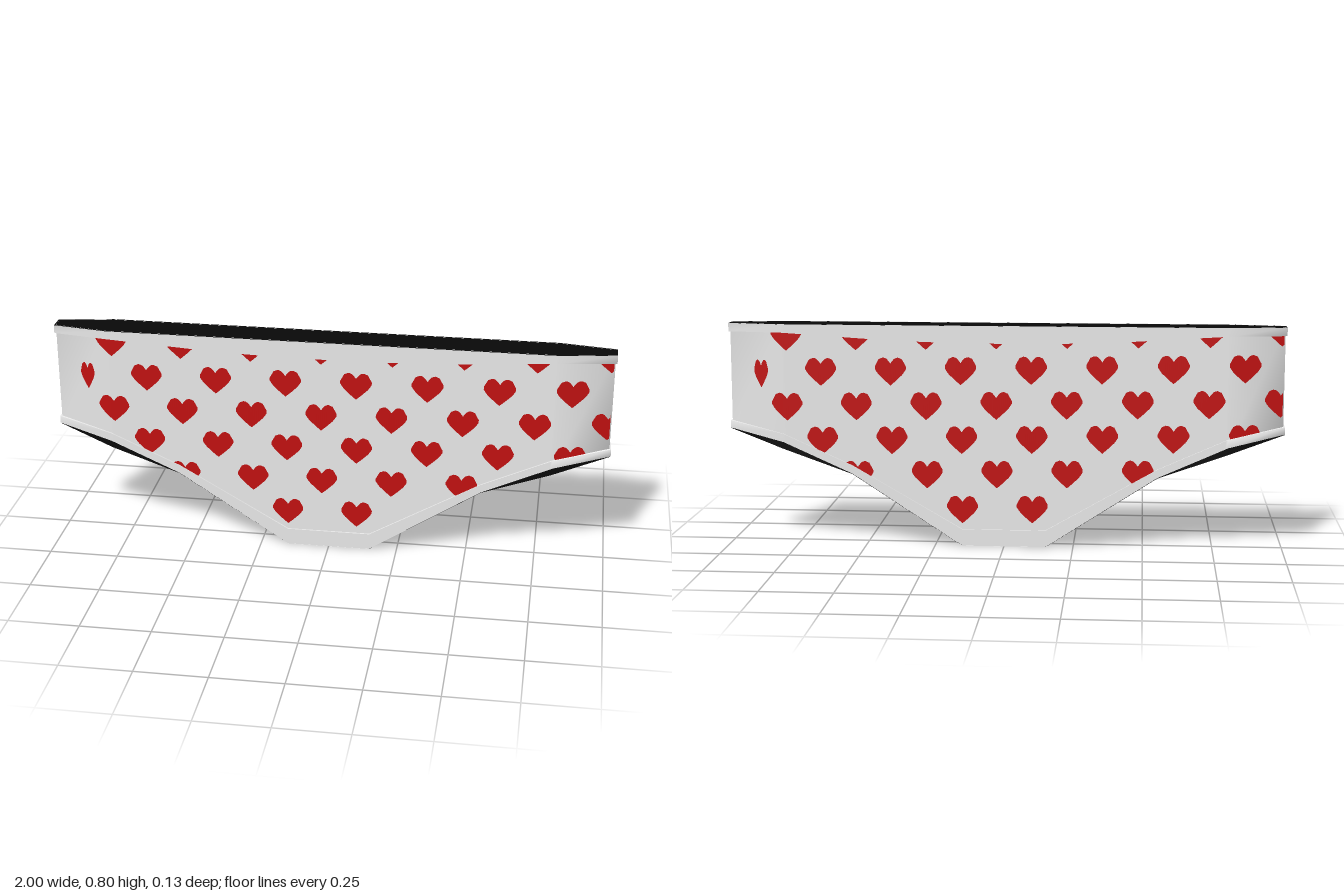
import * as THREE from 'three';
import { toCreasedNormals } from 'three/addons/utils/BufferGeometryUtils.js';

const fabric = new THREE.MeshStandardMaterial({ color: 0xeeeeee, side: THREE.DoubleSide });
fabric.name = 'white fabric';
const red = new THREE.MeshStandardMaterial({ color: 0xc01010, side: THREE.DoubleSide });
red.name = 'heart red';
const black = new THREE.MeshStandardMaterial({ color: 0x080808, side: THREE.DoubleSide });
black.name = 'black lining';

// Piecewise-linear rule, mirrored about x = 0
const rule = (...pts) => (x) => {
  const a = Math.abs(x);
  for (let i = 1; i < pts.length; i++) {
    const [x0, y0] = pts[i - 1], [x1, y1] = pts[i];
    if (a <= x1) return y0 + (y1 - y0) * (a - x0) / (x1 - x0);
  }
  return pts[pts.length - 1][1];
};

const END = 0.994;
const depth = rule([0, 0.057], [0.8, 0.057], [END, 0.024]);
const legEdge = rule([0, 0], [0.15, 0], [0.55, 0.26], [0.8, 0.372], [END, 0.418]);
const trimEdge = rule([0, 0.06], [0.15, 0.06], [0.55, 0.29], [0.8, 0.402], [END, 0.445]);
const liningEdge = rule([0, 0], [0.15, 0], [0.55, 0.259], [END, 0.417]);
const waistEdge = rule([0, 0.733], [0.4, 0.745], [0.8, 0.77], [END, 0.77]);
const top = () => 0.8;

const half = [0.15, 0.4, 0.55, 0.79, 0.8, END];
const columns = [...half.map((x) => -x).reverse(), ...half];
const push = (x, off) => (Math.abs(x) === END ? x + Math.sign(x) * off : x);

function geometryFrom(pos, index) {
  const g = new THREE.BufferGeometry();
  g.setAttribute('position', new THREE.Float32BufferAttribute(pos, 3));
  g.setIndex(index);
  g.computeVertexNormals();
  return g;
}

// Closed band round the garment; rows run bottom to top as [offset, heightRule]
function band(rows) {
  const pos = [], index = [], n = columns.length * 2;
  for (const [off, height] of rows) {
    for (const x of columns) pos.push(push(x, off), height(x), depth(x) + off);
    for (const x of [...columns].reverse()) pos.push(push(x, off), height(x), -depth(x) - off);
  }
  for (let r = 0; r < rows.length - 1; r++) {
    for (let i = 0; i < n; i++) {
      const a = r * n + i, b = r * n + (i + 1) % n;
      index.push(a, b, b + n, a, b + n, a + n);
    }
  }
  return toCreasedNormals(geometryFrom(pos, index), 1.5);
}

// Sheet spanning front to back along x
function sheet(xs, height, off) {
  const pos = [], index = [];
  xs.forEach((x, i) => {
    const z = depth(x) + off;
    pos.push(push(x, off), height(x), z, push(x, off), height(x), -z);
    if (i) {
      const a = 2 * i - 2;
      index.push(a, a + 2, a + 3, a, a + 3, a + 1);
    }
  });
  return toCreasedNormals(geometryFrom(pos, index), 0.3);
}

// Heart made of narrow columns, each corner placed by a rule
const heartTop = rule([0, 0.026], [0.2, 0.042], [0.45, 0.049], [0.75, 0.042], [1, 0.016]);
const heartBottom = rule([0, -0.053], [0.35, -0.036], [0.8, -0.012], [1, 0.006]);
function heart(pos, index, place, width = 0.056) {
  const start = pos.length / 3, steps = 16;
  for (let i = 0; i <= steps; i++) {
    const u = -1 + 2 * i / steps;
    pos.push(...place(u * width, heartBottom(u)), ...place(u * width, heartTop(u)));
    if (i) {
      const a = start + 2 * i - 2;
      index.push(a, a + 2, a + 3, a, a + 3, a + 1);
    }
  }
}

function heartPanel() {
  const pos = [], index = [];
  const add = (cx, cy, width) => heart(pos, index, (dx, dy) => {
    const x = THREE.MathUtils.clamp(cx + dx, -0.99, 0.99);
    const y = THREE.MathUtils.clamp(cy + dy, legEdge(x) + 0.006, 0.79);
    return [x, y, depth(x) + 0.0018];
  }, width);
  // Staggered rows: first x, y, count
  const rows = [[-0.785, 0.758, 8], [-0.66, 0.632, 7], [-0.785, 0.504, 8],
    [-0.657, 0.382, 7], [-0.53, 0.258, 5], [-0.15, 0.135, 2]];
  for (const [x, y, count] of rows) {
    for (let i = 0; i < count; i++) add(x + i * 0.2525, y + i * 0.004);
  }
  add(-0.88, 0.622, 0.026);
  return geometryFrom(pos, index);
}

// Small hearts under the gusset
function gussetHearts() {
  const pos = [], index = [];
  for (const [cx, cz] of [[-0.1, 0.03], [0, -0.028], [0.1, 0.03]]) {
    heart(pos, index, (dx, dy) => [cx + dx * 0.6, -0.0015, cz + dy * 0.5]);
  }
  return geometryFrom(pos, index);
}

export function createModel() {
  const model = new THREE.Group();
  model.name = 'briefs';
  const add = (name, geometry, material) => {
    const mesh = new THREE.Mesh(geometry, material);
    mesh.name = name;
    model.add(mesh);
    return mesh;
  };

  // Cloth shell with raised waist and leg bindings
  add('body', band([[0, legEdge], [0, top]]), fabric);
  add('waistband', band([[0, waistEdge], [0.006, waistEdge], [0.006, top]]), fabric);
  add('legBinding', band([[0, legEdge], [0.006, legEdge], [0.006, trimEdge], [0, trimEdge]]), fabric);
  add('gusset', sheet([-0.15, 0.15], () => -0.0005, 0.006), fabric);

  // Dark openings
  add('waistOpening', sheet(columns, () => 0.7995, 0.0055), black);
  add('legLining', band([[0.004, liningEdge], [0.004, legEdge]]), black);
  for (const side of [-1, 1]) {
    const xs = half.map((x) => x * side);
    add(side > 0 ? 'leftLegOpening' : 'rightLegOpening',
      sheet(xs, (x) => liningEdge(x) - 0.001, 0.0045), black);
  }

  // Printed hearts, repeated on the back by a half turn
  const print = heartPanel();
  add('frontHearts', print, red);
  add('backHearts', print, red).rotation.y = Math.PI;
  add('gussetHearts', gussetHearts(), red);
  return model;
}
